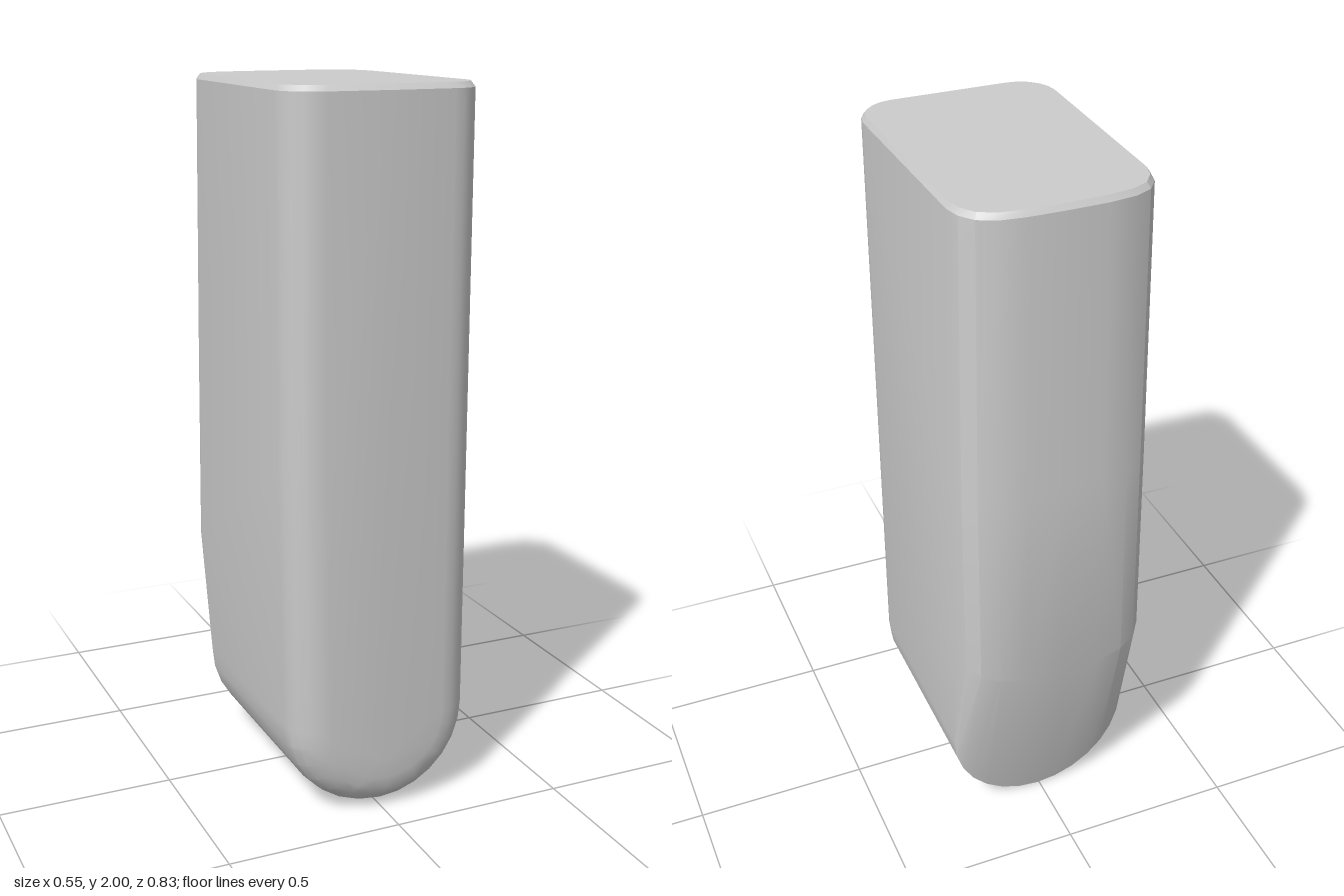
import * as THREE from 'three';
import { ConvexGeometry } from 'three/addons/geometries/ConvexGeometry.js';
import { toCreasedNormals } from 'three/addons/utils/BufferGeometryUtils.js';

const R = 0.27;        // radius of the rounded underside
const EDGE = 0.1;      // rounding of the front edge
const TOP = 2;
const BEVEL = 0.015;   // small bevel around the top

export function createModel() {
  const group = new THREE.Group();
  const points = [];
  const add = (x, y, z) => points.push(new THREE.Vector3(x, y, z));

  // U-shaped lower outline at depth z, shrunk by inset
  const addU = (z, inset) => {
    const r = R - inset;
    for (let i = 0; i <= 14; i++) {
      const a = Math.PI * i / 14;
      add(0.006 + r * Math.cos(a), R - r * Math.sin(a), z);
    }
  };

  // Straight rear end of the rounded underside
  addU(-0.265, 0);

  // Front edge, rounded along the U and up both sides
  for (let i = 0; i <= 5; i++) {
    const a = Math.PI / 2 * i / 5;
    const inset = EDGE * (1 - Math.cos(a));
    const z = 0.31 + EDGE * Math.sin(a);
    addU(z, inset);
    for (const s of [-1, 1]) {
      add(s * (0.276 - inset), 1, z);
      add(s * (0.276 - inset), TOP - BEVEL, z);
      add(s * (0.268 - inset), TOP, z - 0.01);
    }
  }
  // Slight bulge down the middle of the front
  add(0, 0.16, 0.414);
  add(0, TOP - BEVEL, 0.416);

  // Rear corner profile: widest at the ridge, drawn in at the top
  const rear = [[0, -0.417], [0.11, -0.415], [0.185, -0.406], [0.235, -0.383], [0.265, -0.345], [0.277, -0.3]];
  rear.forEach(([x, z], i) => {
    for (const s of [-1, 1]) {
      const narrow = s > 0 ? 0.95 : 0.98;
      add(s * x, 0.57 + 0.014 * i, z);
      add(s * x * 0.995, 1.2, z + 0.014);
      add(s * x * narrow, TOP - BEVEL, z + 0.034);
      add(s * x * narrow * 0.97, TOP, z + 0.044);
    }
  });

  const body = new THREE.Mesh(
    toCreasedNormals(new ConvexGeometry(points), 0.35),
    new THREE.MeshStandardMaterial({ color: 0xcccccc })
  );
  body.name = 'body';
  group.add(body);
  return group;
}
